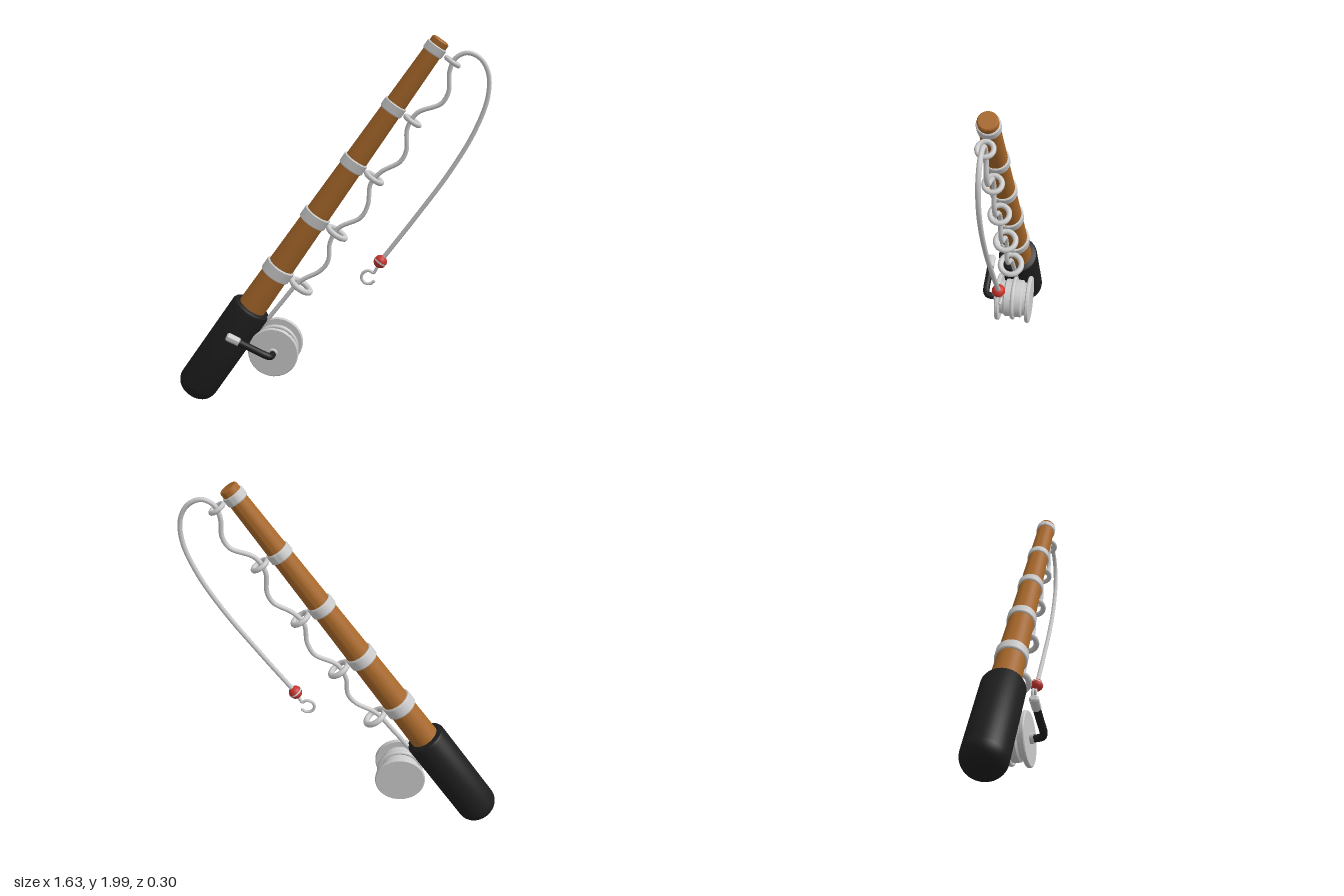
import * as THREE from 'three';
import { toCreasedNormals } from 'three/addons/utils/BufferGeometryUtils.js';

const Z = -0.04; // plane of the rod and line
const material = (color) => new THREE.MeshStandardMaterial({ color });

function add(parent, name, geometry, mat, x = 0, y = 0, z = 0) {
  const mesh = new THREE.Mesh(geometry, mat);
  mesh.name = name;
  mesh.position.set(x, y, z);
  parent.add(mesh);
  return mesh;
}

// Revolved profile given bottom to top as [radius, height] pairs
function turned(profile, sides = 40) {
  const points = profile.map(([r, y]) => new THREE.Vector2(r, y));
  return toCreasedNormals(new THREE.LatheGeometry(points, sides), 0.6);
}

function tube(points, radius, segments) {
  const path = new THREE.CatmullRomCurve3(points.map(([x, y, z = Z]) => new THREE.Vector3(x, y, z)));
  return new THREE.TubeGeometry(path, segments, radius, 10);
}

export function createModel() {
  const model = new THREE.Group();
  model.name = 'fishingRod';
  const wood = material(0xa8682a);
  const black = material(0x1d1d1d);
  const grey = material(0xcccccc);
  const red = material(0xc8342c);

  // Rod frame: y runs along the rod, x points to the guide side
  const rod = new THREE.Group();
  rod.name = 'rod';
  rod.position.set(-0.41, 0.55, Z);
  rod.rotation.z = -0.598;
  model.add(rod);

  add(rod, 'pole', turned([[0, -0.1], [0.079, -0.1], [0.047, 1.718], [0.041, 1.724], [0, 1.724]]), wood);

  // Grip with a rounded butt
  const grip = [[0, -0.622]];
  for (let i = 0; i <= 8; i++) {
    const a = (i / 8) * Math.PI / 2;
    grip.push([0.03 + 0.08 * Math.sin(a), -0.542 - 0.08 * Math.cos(a)]);
  }
  grip.push([0.11, -0.018], [0.105, -0.006], [0.094, 0], [0, 0]);
  add(rod, 'grip', turned(grip), black);

  // Five guides: a band round the pole and a ring beside it
  for (let i = 0; i < 5; i++) {
    const k = i / 4;
    const guide = new THREE.Group();
    guide.name = 'guide' + (i + 1);
    guide.position.y = 0.252 + 0.354 * i;
    rod.add(guide);
    const r = 0.083 - 0.028 * k;
    const h = 0.034 - 0.01 * k;
    add(guide, 'band', turned([[r - 0.015, -h], [r - 0.004, -h], [r, -h + 0.005],
      [r, h - 0.005], [r - 0.004, h], [r - 0.015, h]]), grey);
    const tubeRadius = 0.016 - 0.004 * k;
    const ringRadius = 0.057 - 0.021 * k;
    const ring = add(guide, 'ring', new THREE.TorusGeometry(ringRadius, tubeRadius, 10, 32),
      grey, 0.148 - 0.04 * k);
    ring.rotation.x = Math.PI / 2;
  }

  // Reel: a spool with two flanges, line wound on its middle
  const reel = new THREE.Group();
  reel.name = 'reel';
  reel.position.set(-0.285, 0.325, Z);
  model.add(reel);
  const spool = add(reel, 'spool', turned([[0, -0.098], [0.13, -0.098], [0.135, -0.093], [0.135, -0.08],
    [0.13, -0.075], [0.096, -0.075], [0.096, -0.055], [0.108, -0.047], [0.108, 0.047], [0.096, 0.055],
    [0.096, 0.075], [0.13, 0.075], [0.135, 0.08], [0.135, 0.093], [0.13, 0.098], [0, 0.098]], 48), grey);
  spool.rotation.x = Math.PI / 2;
  add(reel, 'woundLine', new THREE.TorusGeometry(0.113, 0.012, 10, 48), grey);
  const hub = add(reel, 'hub', new THREE.CylinderGeometry(0.026, 0.026, 0.022, 24), grey, 0, 0, 0.105);
  hub.rotation.x = Math.PI / 2;

  // Crank arm and knob
  add(model, 'crank', tube([[-0.285, 0.325, 0.05], [-0.285, 0.325, 0.1], [-0.292, 0.329, 0.12],
    [-0.315, 0.34, 0.128], [-0.39, 0.375, 0.128], [-0.47, 0.413, 0.128]], 0.019, 40), black);
  const knob = add(model, 'knob', turned([[0, -0.038], [0.018, -0.038], [0.022, -0.033], [0.023, 0.03],
    [0.016, 0.038], [0, 0.038]], 24), grey, -0.484, 0.42, 0.128);
  knob.rotation.z = 1.13;

  // Slack line from the reel through the guides, over the tip and down
  add(model, 'line', tube([[-0.39, 0.39], [-0.33, 0.475], [-0.25, 0.58], [-0.15, 0.7], [-0.04, 0.765],
    [0, 0.82], [0.01, 0.92], [0.055, 1.0], [0.17, 1.06], [0.207, 1.13], [0.22, 1.24], [0.275, 1.305],
    [0.37, 1.36], [0.4, 1.42], [0.402, 1.53], [0.45, 1.61], [0.57, 1.66], [0.604, 1.72], [0.606, 1.82],
    [0.633, 1.885], [0.69, 1.912], [0.755, 1.885], [0.797, 1.81], [0.797, 1.69], [0.738, 1.52],
    [0.62, 1.31], [0.45, 1.065], [0.275, 0.825]], 0.012, 260), grey);

  // Float with a pale stripe
  const float = new THREE.Group();
  float.name = 'float';
  float.position.set(0.275, 0.825, Z);
  float.rotation.z = -0.62;
  model.add(float);
  add(float, 'ball', new THREE.SphereGeometry(0.035, 24, 16), red);
  add(float, 'stripe', new THREE.CylinderGeometry(0.0355, 0.0355, 0.009, 24), grey);

  // Hook: short shank curling into an open loop
  const hook = [[0.272, 0.815], [0.257, 0.788]];
  for (let i = 0; i <= 10; i++) {
    const a = 0.75 + i * 0.49;
    hook.push([0.213 + 0.036 * Math.cos(a), 0.737 + 0.036 * Math.sin(a)]);
  }
  add(model, 'hook', tube(hook, 0.008, 60), grey);
  const [tx, ty] = hook[hook.length - 1];
  add(model, 'hookTip', new THREE.SphereGeometry(0.008, 10, 8), grey, tx, ty, Z);

  return model;
}
